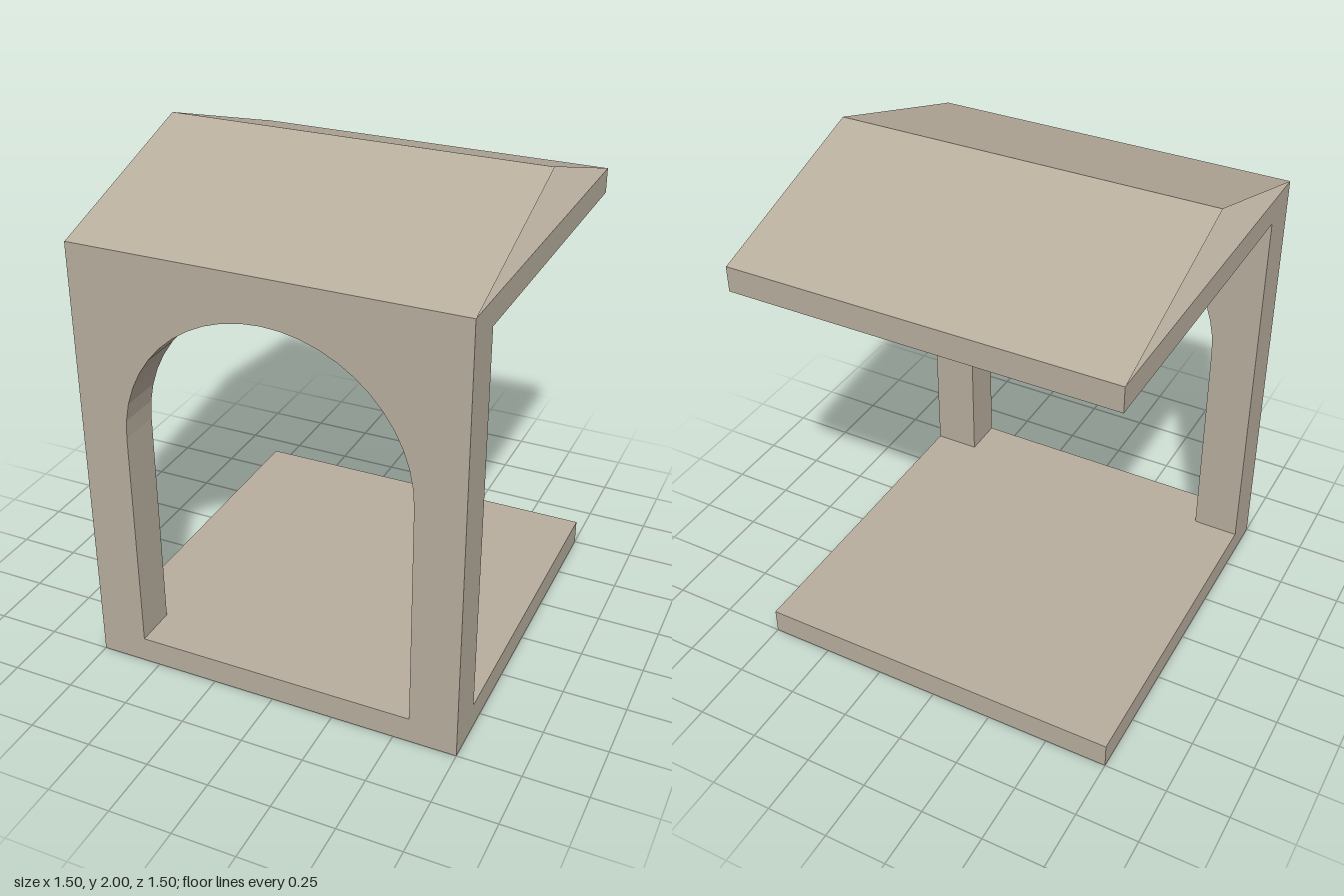
import * as THREE from 'three';

const HALF = 0.75;          // half width and half depth
const FLOOR_TOP = 0.105;
const CEILING = 1.655;
const EAVE = 1.755;
const RIDGE = 2;
const WALL = 0.17;          // wall thickness
const ARCH_R = 0.5625;
const ARCH_Y = 1.0175;      // spring line of the arch

export function createModel() {
  const model = new THREE.Group();
  model.name = 'archedPorch';

  const stone = new THREE.MeshStandardMaterial({ color: 0xb8ae9e, side: THREE.DoubleSide });
  stone.name = 'warm stone';

  const add = (name, geometry, x = 0, y = 0, z = 0) => {
    const mesh = new THREE.Mesh(geometry, stone);
    mesh.name = name;
    mesh.position.set(x, y, z);
    model.add(mesh);
  };

  // Floor and ceiling slabs
  const slab = (name, y0, y1) =>
    add(name, new THREE.BoxGeometry(HALF * 2, y1 - y0, HALF * 2), 0, (y0 + y1) / 2, 0);
  slab('floorSlab', 0, FLOOR_TOP);
  slab('ceilingSlab', CEILING, EAVE);

  // Front wall with a round-headed opening down to the floor
  const wall = new THREE.Shape();
  wall.moveTo(-HALF, FLOOR_TOP);
  wall.lineTo(-ARCH_R, FLOOR_TOP);
  wall.lineTo(-ARCH_R, ARCH_Y);
  wall.absarc(0, ARCH_Y, ARCH_R, Math.PI, 0, true);
  wall.lineTo(ARCH_R, FLOOR_TOP);
  wall.lineTo(HALF, FLOOR_TOP);
  wall.lineTo(HALF, CEILING);
  wall.lineTo(-HALF, CEILING);
  wall.closePath();
  add('archedFrontWall',
    new THREE.ExtrudeGeometry(wall, { depth: WALL, bevelEnabled: false, curveSegments: 6 * 2 }),
    0, 0, HALF - WALL);

  // Two thin roof slopes with open gable ends
  const roofSlope = (name, side) => {
    const eaveZ = side * 0.745;
    const geometry = new THREE.BufferGeometry();
    geometry.setAttribute('position', new THREE.Float32BufferAttribute([
      -side * HALF, EAVE, eaveZ,
      side * HALF, EAVE, eaveZ,
      side * HALF, RIDGE, 0,
      -side * HALF, RIDGE, 0,
    ], 3));
    geometry.setIndex([0, 1, 2, 0, 2, 3]);
    geometry.computeVertexNormals();
    add(name, geometry);
  };
  roofSlope('frontRoofSlope', 1);
  roofSlope('backRoofSlope', -1);

  return model;
}
